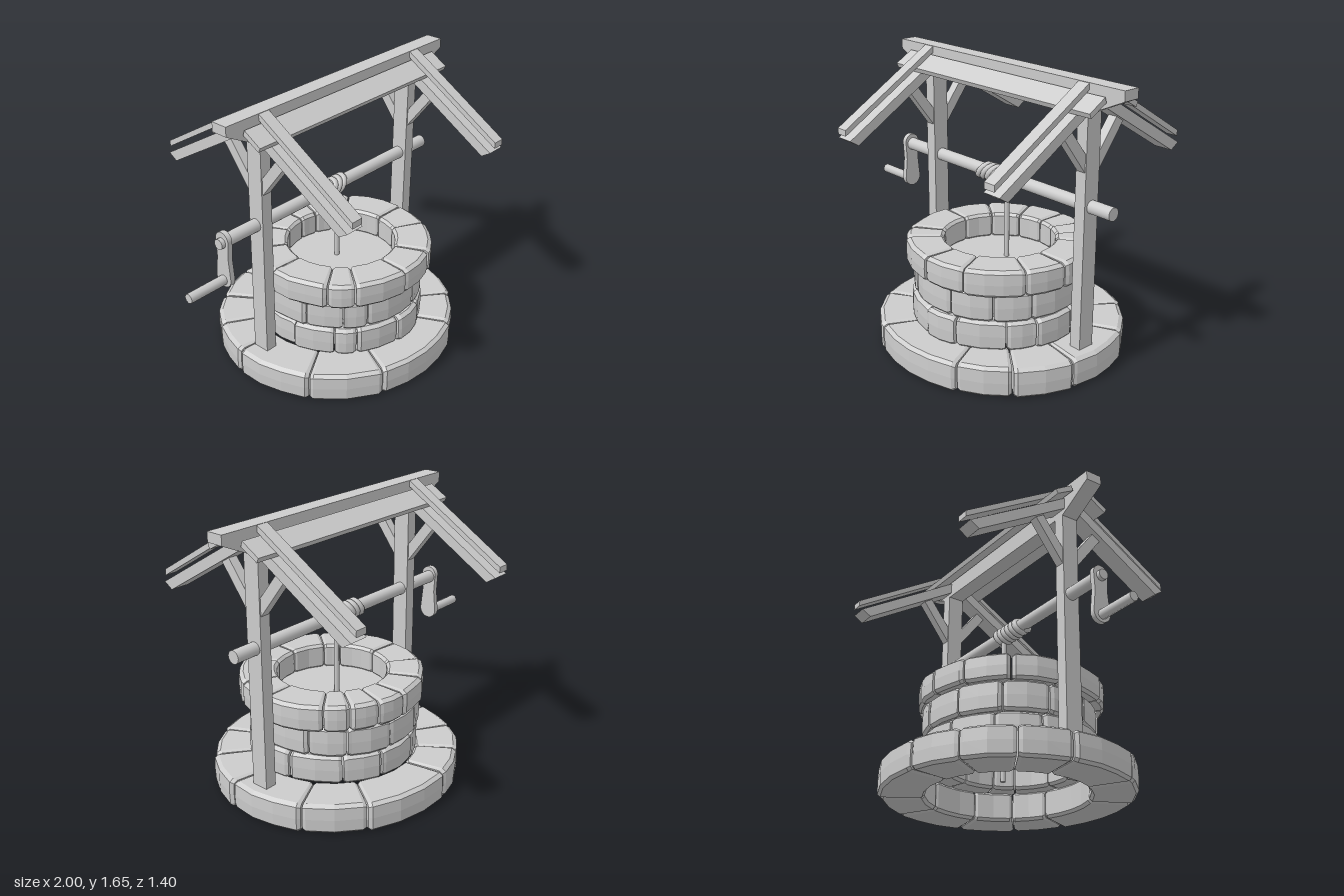
import * as THREE from 'three';

const ZC = -0.014; // depth centre of posts and axle
const ZR = -0.018; // depth centre of the roof slopes

export function createModel() {
  const group = new THREE.Group();
  const grey = new THREE.MeshStandardMaterial({ color: 0xcccccc, side: THREE.DoubleSide });
  grey.name = 'plain grey';

  let seed = 7;
  const jitter = (s) => {
    seed = (seed * 16807) % 2147483647;
    return (seed / 2147483647 - 0.5) * 2 * s;
  };

  function add(name, geometry, x = 0, y = 0, z = 0) {
    const mesh = new THREE.Mesh(geometry, grey);
    mesh.name = name;
    mesh.position.set(x, y, z);
    group.add(mesh);
    return mesh;
  }

  // Prism with a (z, y) outline, running along x
  function prismX(points, width) {
    const shape = new THREE.Shape(points.map(([z, y]) => new THREE.Vector2(z, y)));
    const g = new THREE.ExtrudeGeometry(shape, { depth: width, bevelEnabled: false });
    return g.translate(0, 0, -width / 2).rotateY(-Math.PI / 2);
  }

  // One worn wedge stone between two angles, measured from +z towards +x
  function stone(a0, a1, r0, r1, y0, y1) {
    const b = 0.016, gap = 0.004 / r1, edge = 0.02 / r1;
    const rc = (r0 + r1) / 2, yc = (y0 + y1) / 2;
    const outer = r1 + jitter(0.006), top = y1 + jitter(0.003);
    const outline = [
      [r0 + b, y0], [outer - b, y0], [outer, y0 + b], [outer + 0.003, yc],
      [outer, top - b], [outer - b * 1.4, top], [r0 + b, top], [r0, top - b], [r0, y0 + b],
    ];
    const s = a0 + gap, e = a1 - gap;
    const angles = [s, s + edge];
    const steps = Math.max(2, Math.round((e - s) / 0.25));
    for (let i = 1; i < steps; i++) angles.push(s + edge + ((e - s - 2 * edge) * i) / steps);
    angles.push(e - edge, e);
    const n = outline.length, pos = [], index = [];
    angles.forEach((a, i) => {
      const end = i === 0 || i === angles.length - 1;
      const kr = end ? 0.92 : 1, ky = end ? 0.89 : 1, wobble = jitter(0.005);
      for (const [r, y] of outline) {
        const rr = rc + (r - rc) * kr + (r > rc ? wobble : 0);
        pos.push(Math.sin(a) * rr, yc + (y - yc) * ky, Math.cos(a) * rr);
      }
    });
    const last = (angles.length - 1) * n;
    for (let i = 0; i < angles.length - 1; i++) {
      for (let j = 0; j < n; j++) {
        const p = i * n + j, q = i * n + ((j + 1) % n);
        index.push(p, p + n, q, q, p + n, q + n);
      }
    }
    for (let j = 1; j < n - 1; j++) {
      index.push(0, j, j + 1, last, last + j + 1, last + j);
    }
    const g = new THREE.BufferGeometry();
    g.setAttribute('position', new THREE.Float32BufferAttribute(pos, 3));
    g.setIndex(index);
    return g.toNonIndexed();
  }

  // Stone courses: joint angles in degrees, sx widens the slightly oval rings
  const courses = [
    { name: 'baseStone', x: 0.118, z: 0.005, r0: 0.45, r1: 0.698, y0: 0.004, y1: 0.175, sx: 1.045,
      joints: [26, 51, 79, 117, 146, 190, 214, 238, 262, 301, 335] },
    { name: 'lowerWallStone', x: 0.125, z: 0.03, r0: 0.35, r1: 0.495, y0: 0.17, y1: 0.339, sx: 1,
      joints: [18, 52, 72, 102, 138, 165, 195, 225, 255, 280, 308, 323, 354] },
    { name: 'upperWallStone', x: 0.12, z: 0.022, r0: 0.35, r1: 0.49, y0: 0.337, y1: 0.51, sx: 1.01,
      joints: [14, 43, 68, 115, 140, 170, 200, 230, 260, 290, 315, 332] },
    { name: 'rimStone', x: 0.13, z: 0.03, r0: 0.315, r1: 0.523, y0: 0.508, y1: 0.658, sx: 1.02,
      joints: [25, 62, 88, 127, 143, 161, 180, 206, 235, 265, 304, 321, 356] },
  ];
  for (const c of courses) {
    c.joints.forEach((d, i) => {
      const next = i + 1 < c.joints.length ? c.joints[i + 1] : c.joints[0] + 360;
      const g = stone(THREE.MathUtils.degToRad(d), THREE.MathUtils.degToRad(next), c.r0, c.r1, c.y0, c.y1);
      g.scale(c.sx, 1, 1).computeVertexNormals();
      add(c.name, g, c.x, 0, c.z);
    });
  }

  // Water surface inside the shaft
  add('water', new THREE.CircleGeometry(0.37, 32).rotateX(-Math.PI / 2), 0.125, 0.515, 0.025);

  // Posts, braces and rafters, one frame at each end
  for (const x of [-0.472, 0.738]) {
    add('post', new THREE.BoxGeometry(0.07, 1.36, 0.1), x, 0.85, ZC);
    for (const s of [1, -1]) {
      const flip = (pts) => pts.map(([z, y]) => [z * s, y]);
      add('brace', prismX(flip([[0.045, 1.175], [0.045, 1.275], [0.18, 1.45], [0.23, 1.417]]), 0.055), x, 0, ZR);
      add('rafter', prismX(flip([[0.03, 1.594], [0.667, 1.21], [0.612, 1.175], [0.03, 1.527]]), 0.112), x, 0, ZR);
      add('rafterStrip', prismX(flip([[0.05, 1.655], [0.681, 1.272], [0.681, 1.237], [0.05, 1.62]]), 0.072), x, 0, ZR);
    }
  }

  // Ridge beam with undercut ends
  const ridge = new THREE.Shape([
    [-0.73, 1.655], [-0.73, 1.6], [-0.5, 1.48], [0.77, 1.495], [1, 1.6], [1, 1.655],
  ].map(([x, y]) => new THREE.Vector2(x, y)));
  add('ridgeBeam', new THREE.ExtrudeGeometry(ridge, { depth: 0.1, bevelEnabled: false }), 0, 0, ZC - 0.05);

  // Roof planks either side of the ridge
  for (const s of [1, -1]) {
    const plank = [[0.06, 1.577], [0.07, 1.607], [0.178, 1.543], [0.166, 1.517]];
    add('roofPlank', prismX(plank.map(([z, y]) => [z * s, y]), 1.517), 0.135, 0, ZR);
  }

  // Windlass axle
  const rod = (r, length, sides) => new THREE.CylinderGeometry(r, r, length, sides).rotateZ(Math.PI / 2);
  add('axle', rod(0.037, 1.67, 20), 0.087, 0.993, ZC - 0.003);
  add('axleTip', rod(0.03, 0.035, 16), -0.762, 0.993, ZC);

  // Crank arm, widening to its rounded lower end, and its handle
  const arm = new THREE.Shape();
  arm.absarc(0, 1.007, 0.048, 0, Math.PI, false);
  arm.lineTo(-0.042, 0.9);
  arm.absarc(0, 0.777, 0.055, Math.PI, Math.PI * 2, false);
  arm.lineTo(0.042, 0.9);
  const armGeometry = new THREE.ExtrudeGeometry(arm, { depth: 0.03, bevelEnabled: false, curveSegments: 10 });
  add('crankArm', armGeometry.translate(0, 0, -0.015).rotateY(-Math.PI / 2), -0.74, 0, ZC);
  add('crankHandle', rod(0.028, 0.26, 8), -0.87, 0.765, ZC);

  // Slanted rope coil whose ends tuck into the axle, then the hanging rope
  const turns = 6, count = turns * 12, coil = [];
  for (let i = 0; i <= count; i++) {
    const a = (i / 12) * Math.PI * 2;
    const r = i === 0 || i === count ? 0.012 : 0.038;
    const x = -0.055 + (0.225 * i) / count - Math.cos(a) * 0.024;
    coil.push(new THREE.Vector3(x, 0.993 - Math.cos(a) * r, ZC + Math.sin(a) * r));
  }
  add('ropeCoil', new THREE.TubeGeometry(new THREE.CatmullRomCurve3(coil), turns * 18, 0.02, 8));
  add('hangingRope', new THREE.CylinderGeometry(0.015, 0.015, 0.85, 10), 0.14, 0.525, ZC);

  return group;
}
